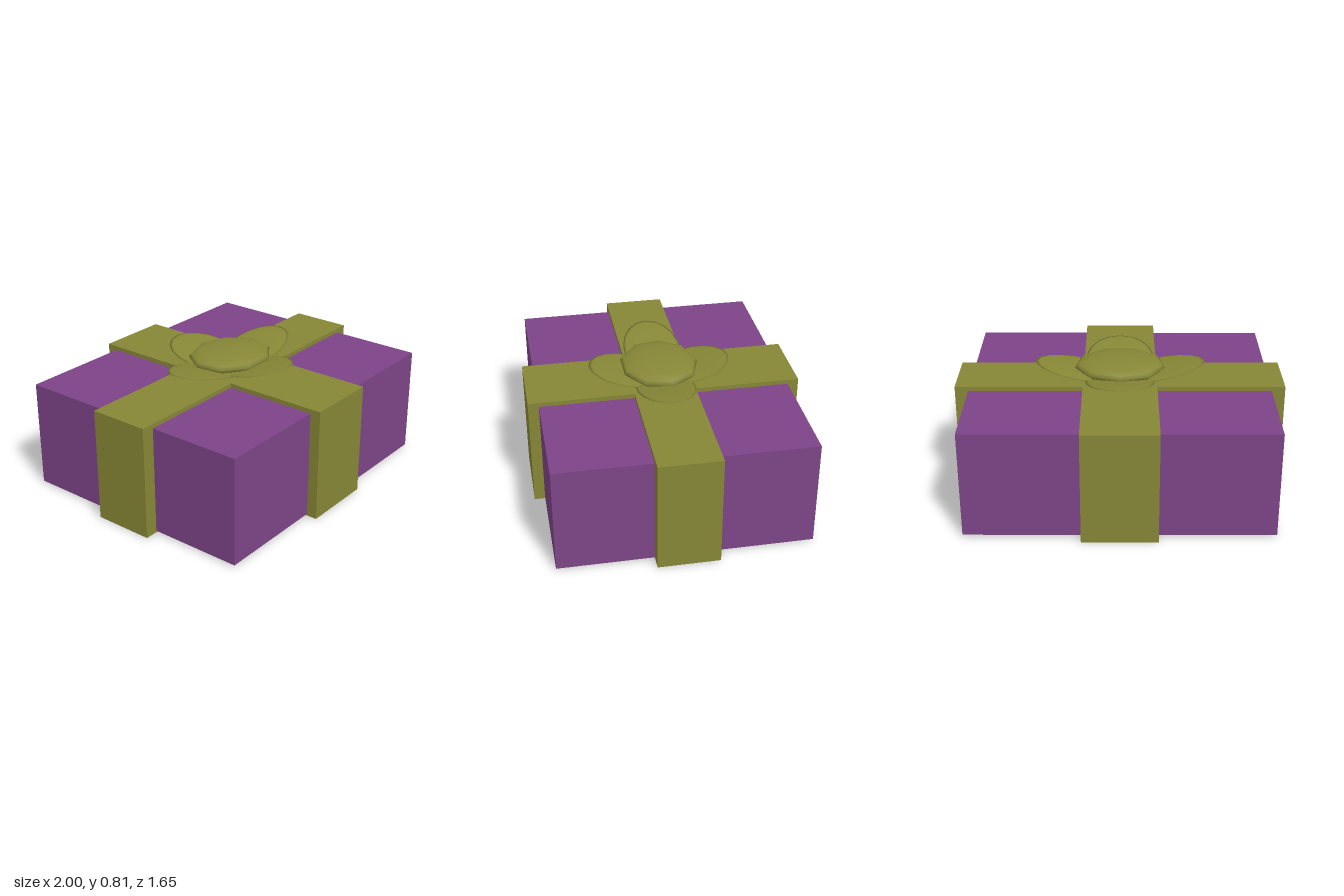
import * as THREE from 'three';

export function createModel() {
  const group = new THREE.Group();
  const purple = new THREE.MeshStandardMaterial({ color: 0x7d4488 });
  const olive = new THREE.MeshStandardMaterial({ color: 0x868736 });

  const add = (name, geometry, material) => {
    const mesh = new THREE.Mesh(geometry, material);
    mesh.name = name;
    group.add(mesh);
    return mesh;
  };

  // Gift box
  add('box', new THREE.BoxGeometry(1.84, 0.66, 1.52), purple).position.y = 0.34;

  // Crossed ribbon bands: a plus-shaped outline extruded upwards
  const X = 1, Z = 0.825, wx = 0.226, wz = 0.186, height = 0.697;
  const cross = new THREE.Shape([
    [X, -wz], [X, wz], [wx, wz], [wx, Z], [-wx, Z], [-wx, wz],
    [-X, wz], [-X, -wz], [-wx, -wz], [-wx, -Z], [wx, -Z], [wx, -wz],
  ].map(([x, y]) => new THREE.Vector2(x, y)));
  const ribbon = new THREE.ExtrudeGeometry(cross, { depth: height, bevelEnabled: false });
  ribbon.rotateX(-Math.PI / 2);
  add('ribbon', ribbon, olive);

  // Bow petals: thin flattened ellipsoids rising outwards
  const addPetal = (name, angle, length, width, reach) => {
    const petal = new THREE.SphereGeometry(1, 18, 8);
    petal.scale(length, 0.012, width);
    petal.rotateZ(0.2);
    petal.translate(reach, 0.735, 0);
    petal.rotateY(angle);
    add(name, petal, olive);
  };
  addPetal('leftPetal', 0, 0.285, 0.18, 0.24);
  addPetal('rightPetal', Math.PI, 0.285, 0.18, 0.24);
  addPetal('backPetal', Math.PI / 2, 0.24, 0.21, 0.2);
  addPetal('frontPetal', -Math.PI / 2, 0.24, 0.21, 0.198);

  // Nine-sided domed knot with a narrow rim and a shallow underside
  const profile = [
    [0, 0.7], [0.5, 0.712], [0.93, 0.742], [1, 0.762],
    [0.93, 0.782], [0.72, 0.8], [0.4, 0.81], [0, 0.813],
  ].map(([r, y]) => new THREE.Vector2(r, y));
  const knot = new THREE.LatheGeometry(profile, 9, Math.PI);
  knot.scale(0.28, 1, 0.24);
  add('bowKnot', knot, olive);

  return group;
}
